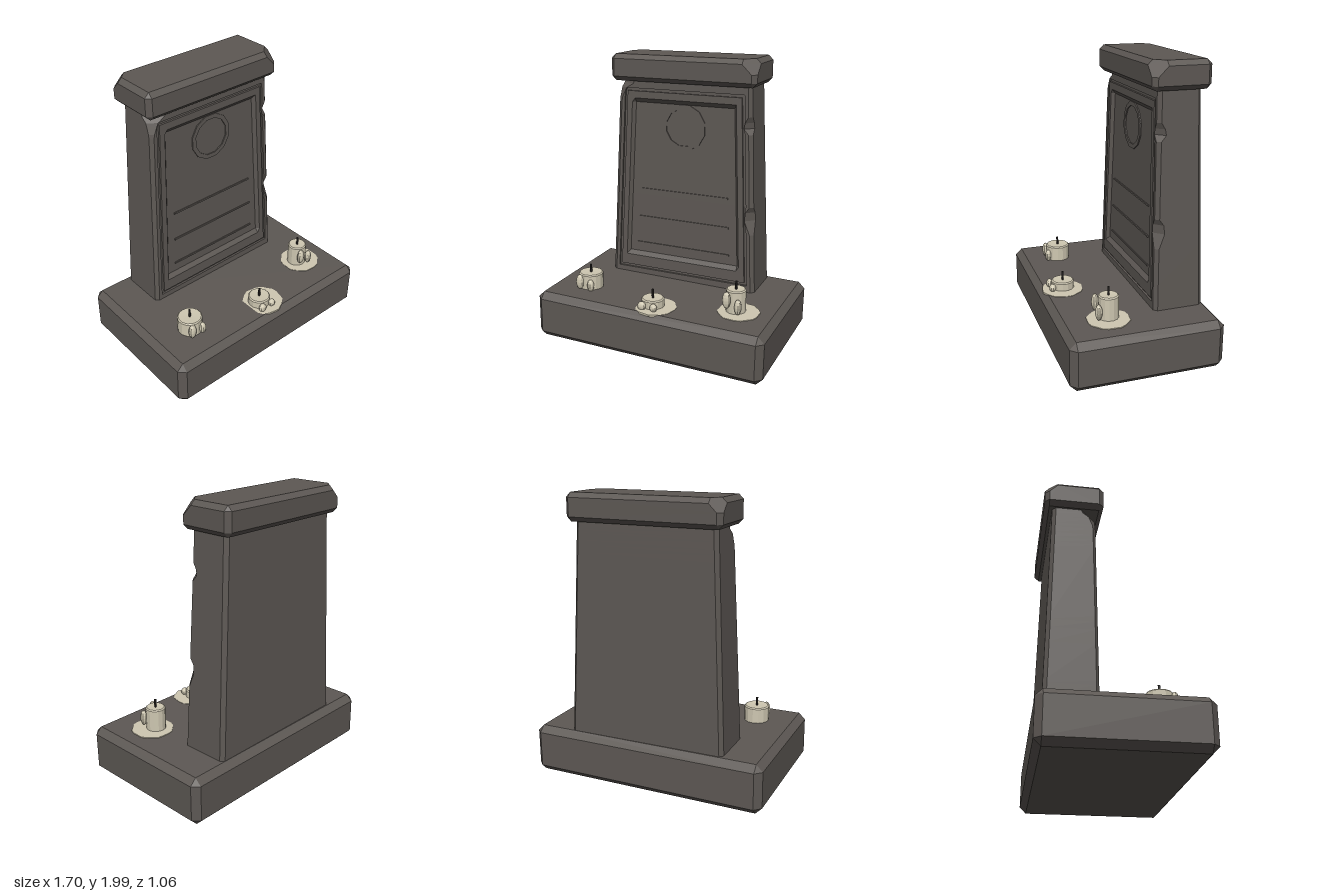
import * as THREE from 'three';
import { ConvexGeometry } from 'three/addons/geometries/ConvexGeometry.js';

const stone = new THREE.MeshStandardMaterial({ color: 0x5d5854, flatShading: true });
stone.name = 'stone';
const wax = new THREE.MeshStandardMaterial({ color: 0xcfc8b2, flatShading: true });
wax.name = 'wax';
const soot = new THREE.MeshStandardMaterial({ color: 0x2b2826, flatShading: true });
soot.name = 'wick';

function add(parent, name, geometry, material, x = 0, y = 0, z = 0) {
  const mesh = new THREE.Mesh(geometry, material);
  mesh.name = name;
  mesh.position.set(x, y, z);
  parent.add(mesh);
  return mesh;
}

// Box with edges cut by c; chips maps a corner such as '1,1,-1' to a larger break
function cutBlock(hx, hy, hz, c, chips = {}) {
  const pts = [];
  for (const sx of [-1, 1]) for (const sy of [-1, 1]) for (const sz of [-1, 1]) {
    const d = chips[[sx, sy, sz].join()];
    const p = (a, b, e) => pts.push(new THREE.Vector3(sx * (hx - a), sy * (hy - b), sz * (hz - e)));
    if (d) {
      p(d, 0, c); p(d, c, 0);
      p(0, d, c); p(c, d, 0);
      p(0, c, d); p(c, 0, d);
    } else {
      p(0, c, c); p(c, 0, c); p(c, c, 0);
    }
  }
  return new ConvexGeometry(pts);
}

// Linear interpolation through [y, value] pairs
function along(pairs, y) {
  for (let i = 1; i < pairs.length; i++) {
    const [y0, v0] = pairs[i - 1], [y1, v1] = pairs[i];
    if (y <= y1) return v0 + (v1 - v0) * Math.max(0, (y - y0) / (y1 - y0));
  }
  return pairs[pairs.length - 1][1];
}

const taper = (y) => (y - 0.36) / 1.46;
const frontZ = (y) => -0.125 - 0.03 * taper(y);

// Nested border of the front panel: inset from the side, and carved depth
const border = [[0.05, 0], [0.05, 0.015], [0.07, 0.015], [0.07, 0], [0.11, 0], [0.13, 0.025]];
const lowYs = [0.40, 0.40, 0.42, 0.42, 0.50, 0.53];
const highYs = [1.76, 1.76, 1.74, 1.74, 1.69, 1.66];

// Cut of the two front edges, widening where the stone is chipped
const rightCut = [[0.78, 0.025], [0.88, 0.062], [0.94, 0.055], [0.98, 0.025],
  [1.49, 0.025], [1.53, 0.058], [1.57, 0.05], [1.61, 0.025]];
const leftCut = [[1.68, 0.025], [1.76, 0.06], [1.79, 0.11], [1.83, 0.13]];

// Tapered slab: horizontal loops stacked upward, with the panel carved in front
function slabGeometry() {
  const levels = [[0.33, 0]];
  lowYs.forEach((y, k) => levels.push([y, k]));
  rightCut.forEach(([y]) => levels.push([y, 5]));
  for (let k = 5; k >= 0; k--) levels.push([highYs[k], k]);
  levels.push([1.79, 0], [1.83, 0]);

  const loops = levels.map(([y, row]) => {
    const t = taper(y), w = 0.565 - 0.068 * t, f = frontZ(y), b = -0.475 + 0.025 * t;
    const l = along(leftCut, y), r = along(rightCut, y), c = 0.025;
    const loop = [[-w, y, f - l * 0.8], [-w + l, y, f]];
    border.forEach(([inset], k) =>
      loop.push([-w + Math.max(inset, l), y, f - border[Math.min(k, row)][1]]));
    for (let k = 5; k >= 0; k--)
      loop.push([w - Math.max(border[k][0], r), y, f - border[Math.min(k, row)][1]]);
    loop.push([w - r, y, f], [w, y, f - r]);
    loop.push([w, y, b + c], [w - c, y, b], [-w + c, y, b], [-w, y, b + c]);
    return loop;
  });

  const pos = [];
  for (let j = 0; j + 1 < loops.length; j++) {
    const n = loops[j].length;
    for (let i = 0; i < n; i++) {
      const k = (i + 1) % n;
      const a = loops[j][i], b = loops[j][k], c = loops[j + 1][k], d = loops[j + 1][i];
      pos.push(...a, ...b, ...c, ...a, ...c, ...d);
    }
  }
  const g = new THREE.BufferGeometry();
  g.setAttribute('position', new THREE.Float32BufferAttribute(pos, 3));
  g.computeVertexNormals();
  return g;
}

// Flat spill of wax with an uneven rim
function puddleGeometry(radius, phase) {
  const shape = new THREE.Shape();
  const n = 22;
  for (let i = 0; i < n; i++) {
    const a = (i / n) * Math.PI * 2;
    const r = radius * (0.97 + 0.03 * Math.sin(i * 2.3 + phase));
    if (i) shape.lineTo(r * Math.cos(a), r * Math.sin(a));
    else shape.moveTo(r, 0);
  }
  return new THREE.ExtrudeGeometry(shape, { depth: 0.012, bevelEnabled: false }).rotateX(-Math.PI / 2);
}

function candle({ x, y, z, r, h, wick, puddle, drips }) {
  const g = new THREE.Group();
  g.name = 'candle';
  g.position.set(x, y, z);
  const profile = [[0, 0], [r, 0], [r, h - 0.008], [r - 0.008, h], [0, h - 0.004]];
  add(g, 'candleBody', new THREE.LatheGeometry(profile.map((p) => new THREE.Vector2(...p)), 14), wax);
  add(g, 'wick', new THREE.CylinderGeometry(0.008, 0.008, wick + 0.01, 6), soot, 0, h + wick / 2 - 0.005, 0);
  for (const [dx, dy, dz, rx, ry] of drips)
    add(g, 'waxDrip', new THREE.SphereGeometry(1, 10, 8), wax, dx, dy, dz).scale.set(rx, ry, 0.024);
  if (puddle) add(g, 'waxPuddle', puddleGeometry(0.148, x * 9), wax, puddle[0], -0.002, puddle[1]);
  return g;
}

export function createModel() {
  const model = new THREE.Group();
  model.name = 'memorialStone';

  // Slightly settled plinth
  const plinth = add(model, 'plinth', cutBlock(0.845, 0.17, 0.525, 0.045), stone, 0, 0.187, 0);
  plinth.rotation.set(0, -0.006, -0.011);

  add(model, 'slab', slabGeometry(), stone);

  // Capstone with two broken corners
  add(model, 'capstone', cutBlock(0.543, 0.094, 0.202, 0.032,
    { '1,1,1': 0.1, '-1,1,-1': 0.085 }), stone, 0, 1.906, -0.303);

  // Plain ring and ruled bars carved on the panel
  const carving = new THREE.Group();
  carving.name = 'panelCarving';
  model.add(carving);
  const onPanel = (mesh) => { mesh.rotation.x = -0.0205; };
  const ring = new THREE.Shape(), hole = new THREE.Path();
  for (const [path, r] of [[ring, 0.166], [hole, 0.135]])
    for (let i = 0; i < 12; i++) {
      const a = (i + 0.5) * Math.PI / 6;
      path[i ? 'lineTo' : 'moveTo'](r * Math.cos(a), r * Math.sin(a));
    }
  ring.holes.push(hole);
  onPanel(add(carving, 'ring', new THREE.ExtrudeGeometry(ring, { depth: 0.01, bevelEnabled: false }),
    stone, 0, 1.5, frontZ(1.5) - 0.027));
  for (const [y, w] of [[1.02, 0.69], [0.805, 0.71], [0.6, 0.73]])
    onPanel(add(carving, 'ruledBar', new THREE.BoxGeometry(w, 0.012, 0.012), stone, 0, y, frontZ(y) - 0.023));

  // Burnt-down candles
  model.add(candle({ x: -0.55, y: 0.355, z: 0.24, r: 0.088, h: 0.118, wick: 0.055,
    drips: [[-0.045, 0.062, 0.085, 0.03, 0.055], [0.042, 0.045, 0.085, 0.026, 0.045]] }));
  model.add(candle({ x: 0, y: 0.348, z: 0.35, r: 0.08, h: 0.068, wick: 0.06, puddle: [0.025, 0.01],
    drips: [[-0.045, 0.03, 0.085, 0.03, 0.032], [0.043, 0.03, 0.085, 0.027, 0.028]] }));
  model.add(candle({ x: 0.545, y: 0.345, z: 0.19, r: 0.069, h: 0.17, wick: 0.055, puddle: [0.025, 0.01],
    drips: [[-0.04, 0.11, 0.08, 0.03, 0.06], [0.042, 0.072, 0.08, 0.026, 0.055]] }));

  return model;
}
